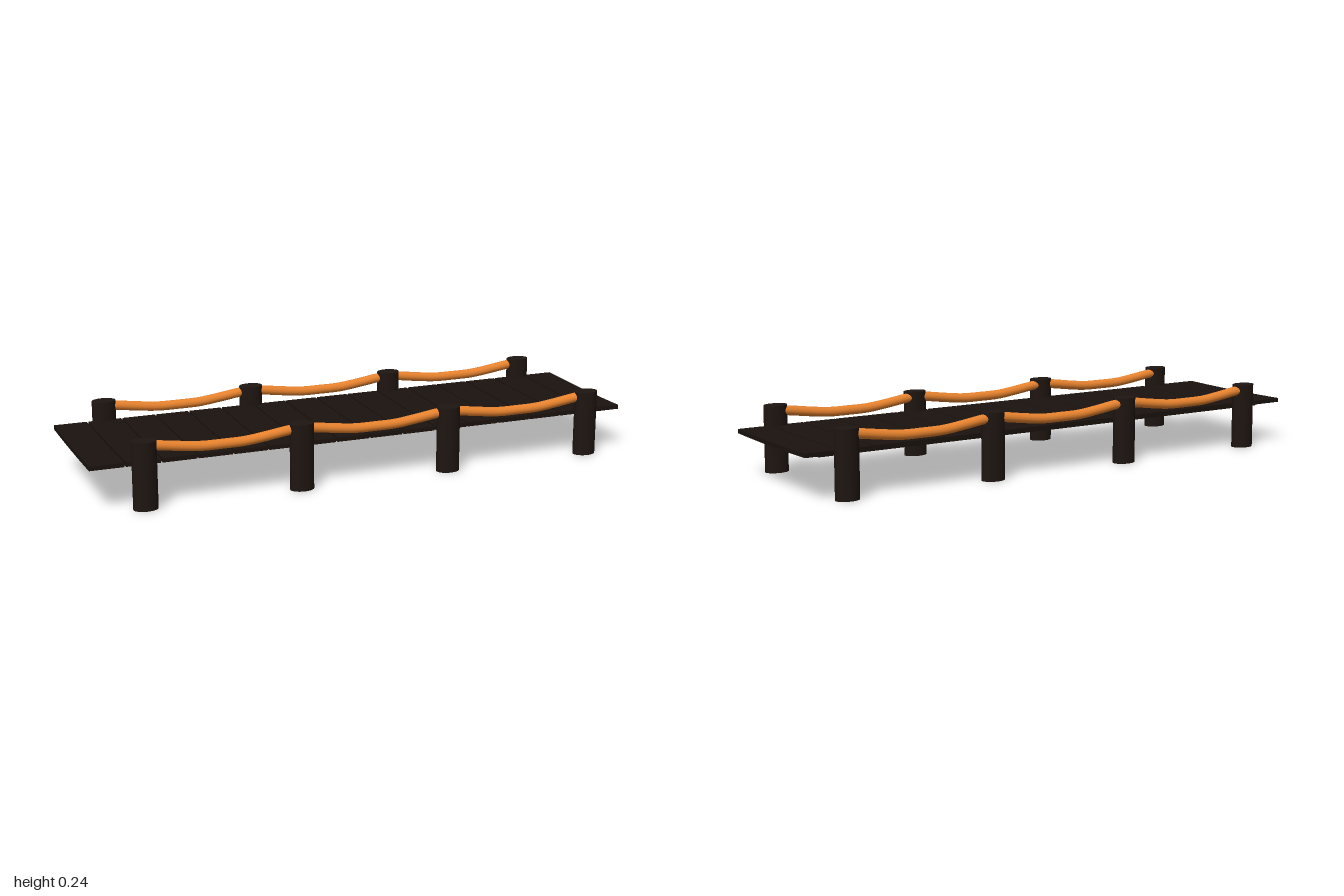
import * as THREE from 'three';

const wood = new THREE.MeshStandardMaterial({ color: 0x1e1511 });
const plankWood = new THREE.MeshStandardMaterial({ color: 0x1a120e });
const ropeOrange = new THREE.MeshStandardMaterial({ color: 0xe8832e });

const POST_X = [-0.815, -0.258, 0.298, 0.855];
const POST_Z = 0.268;

function add(parent, name, geometry, material, x = 0, y = 0, z = 0) {
  const mesh = new THREE.Mesh(geometry, material);
  mesh.name = name;
  mesh.position.set(x, y, z);
  parent.add(mesh);
  return mesh;
}

// Plank whose middle sags very slightly between its ends
function plankGeometry(width, depth) {
  const g = new THREE.BoxGeometry(width, 0.015, depth, 1, 1, 6);
  const p = g.attributes.position;
  for (let i = 0; i < p.count; i++) {
    const t = p.getZ(i) / (depth / 2);
    p.setY(i, p.getY(i) - 0.003 * (1 - t * t));
  }
  g.computeVertexNormals();
  return g;
}

// Rope hanging from one post to the next
function ropeGeometry(x0, x1) {
  const length = x1 - x0;
  const drop = [[0, 0.218], [0.08, 0.214], [0.22, 0.203], [0.36, 0.194], [0.5, 0.193],
    [0.64, 0.194], [0.78, 0.203], [0.92, 0.214], [1, 0.218]];
  const path = new THREE.CatmullRomCurve3(
    drop.map(([t, y]) => new THREE.Vector3(x0 + t * length, y, 0)));
  return new THREE.TubeGeometry(path, 32, 0.0175, 12, false);
}

export function createModel() {
  const model = new THREE.Group();
  model.name = 'footbridge';

  // Deck of sixteen cross planks with narrow gaps
  const deck = new THREE.Group();
  deck.name = 'deck';
  model.add(deck);
  const plank = plankGeometry(0.119, 0.522);
  for (let i = 0; i < 16; i++) {
    add(deck, 'plank', plank, plankWood, -0.9405 + i * 0.1254, 0.159, 0);
  }

  // Two long beams under the deck
  for (const side of [-1, 1]) {
    add(model, 'beam', new THREE.BoxGeometry(1.87, 0.022, 0.132), plankWood,
      -0.025, 0.141, side * 0.111);
  }

  // Oval posts and the ropes strung between them on both sides
  const postShape = new THREE.CylinderGeometry(0.043, 0.043, 0.237, 24);
  postShape.scale(1, 1, 0.032 / 0.043);
  for (const side of [-1, 1]) {
    const railing = new THREE.Group();
    railing.name = side > 0 ? 'frontRailing' : 'backRailing';
    model.add(railing);
    POST_X.forEach((x, i) => {
      add(railing, 'post', postShape, wood, x, 0.1185, side * POST_Z);
      if (i > 0) {
        add(railing, 'rope', ropeGeometry(POST_X[i - 1], x), ropeOrange,
          0, 0, side > 0 ? 0.26 : -0.272);
      }
    });
  }
  return model;
}
